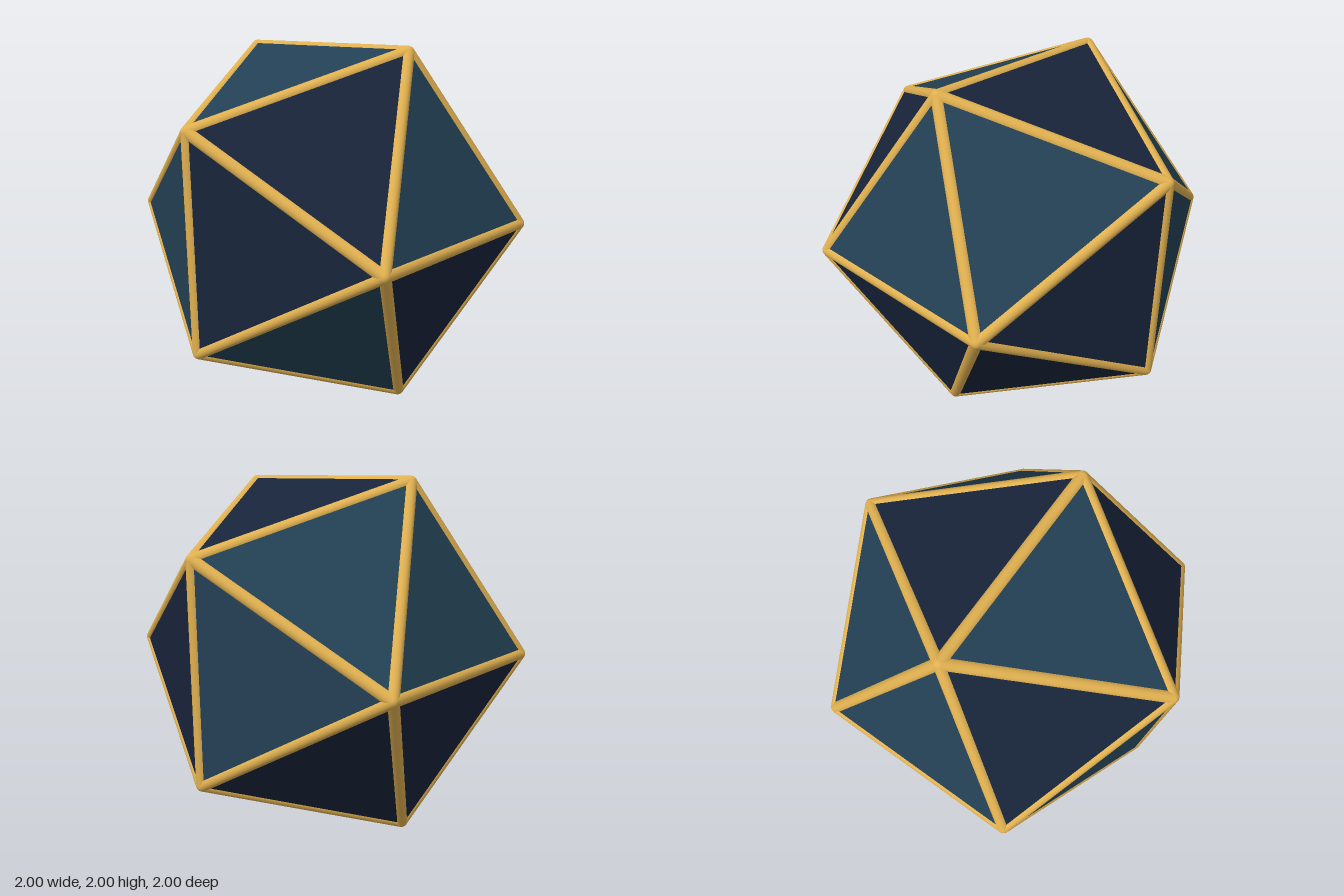
import * as THREE from 'three';

const FRAME_RADIUS = 0.036;       // thickness of the gilded edges
const FRAME_HALF = 0.964;         // distance of frame edge axes from the centre
const CORE_HALF = 0.993;          // distance of core edges from the centre
const TO_CIRCUMRADIUS = 1.17557;  // edge-midpoint distance -> corner distance

// The 20 triangles of an icosahedron with an edge facing each axis
function icosahedronFaces(half) {
  const geo = new THREE.IcosahedronGeometry(half * TO_CIRCUMRADIUS, 0).rotateY(Math.PI / 2);
  const pos = geo.getAttribute('position');
  const faces = [];
  for (let i = 0; i < pos.count; i += 3) {
    faces.push([0, 1, 2].map(k => new THREE.Vector3().fromBufferAttribute(pos, i + k)));
  }
  return faces;
}

// Which panels take the lighter colour, from the signs of the panel direction
function isLight(center) {
  const [x, y, z] = center.toArray().map(v => (Math.abs(v) < 0.05 ? 0 : Math.sign(v)));
  if (x === 0) return y > 0;
  if (y === 0) return z < 0;
  if (z === 0) return x * y < 0;
  return x * y > 0;
}

export function createModel() {
  const model = new THREE.Group();
  model.name = 'twentySidedDie';
  const lightPanel = new THREE.MeshStandardMaterial({ color: 0x234054, flatShading: true });
  const darkPanel = new THREE.MeshStandardMaterial({ color: 0x18243a, flatShading: true });
  const gold = new THREE.MeshStandardMaterial({ color: 0xe0b050 });

  // Flat triangular panels
  const panels = new THREE.Group();
  panels.name = 'panels';
  for (const corners of icosahedronFaces(CORE_HALF)) {
    const geo = new THREE.BufferGeometry().setFromPoints(corners);
    geo.computeVertexNormals();
    const center = new THREE.Vector3();
    corners.forEach(c => center.addScaledVector(c, 1 / 3));
    const panel = new THREE.Mesh(geo, isLight(center) ? lightPanel : darkPanel);
    panel.name = 'panel';
    panels.add(panel);
  }
  model.add(panels);

  // Frame: find the unique corners and edges
  const frame = new THREE.Group();
  frame.name = 'frame';
  const points = [];
  for (const corners of icosahedronFaces(FRAME_HALF)) {
    for (const c of corners) {
      if (!points.some(p => p.distanceTo(c) < 0.01)) points.push(c);
    }
  }
  const edgeLength = 2 * FRAME_HALF / ((1 + Math.sqrt(5)) / 2);
  const rodGeo = new THREE.CylinderGeometry(FRAME_RADIUS, FRAME_RADIUS, edgeLength, 16, 1, true);
  const jointGeo = new THREE.SphereGeometry(FRAME_RADIUS, 20, 14);
  const up = new THREE.Vector3(0, 1, 0);

  points.forEach((a, i) => {
    // Rounded corner
    const joint = new THREE.Mesh(jointGeo, gold);
    joint.name = 'cornerJoint';
    joint.position.copy(a);
    frame.add(joint);
    // Rods to neighbouring corners
    for (const b of points.slice(i + 1)) {
      if (Math.abs(a.distanceTo(b) - edgeLength) > 0.01) continue;
      const rod = new THREE.Mesh(rodGeo, gold);
      rod.name = 'edgeRod';
      rod.position.addVectors(a, b).multiplyScalar(0.5);
      rod.quaternion.setFromUnitVectors(up, b.clone().sub(a).normalize());
      frame.add(rod);
    }
  });
  model.add(frame);

  // Stand on the ground
  panels.position.y = 1;
  frame.position.y = 1;
  return model;
}
